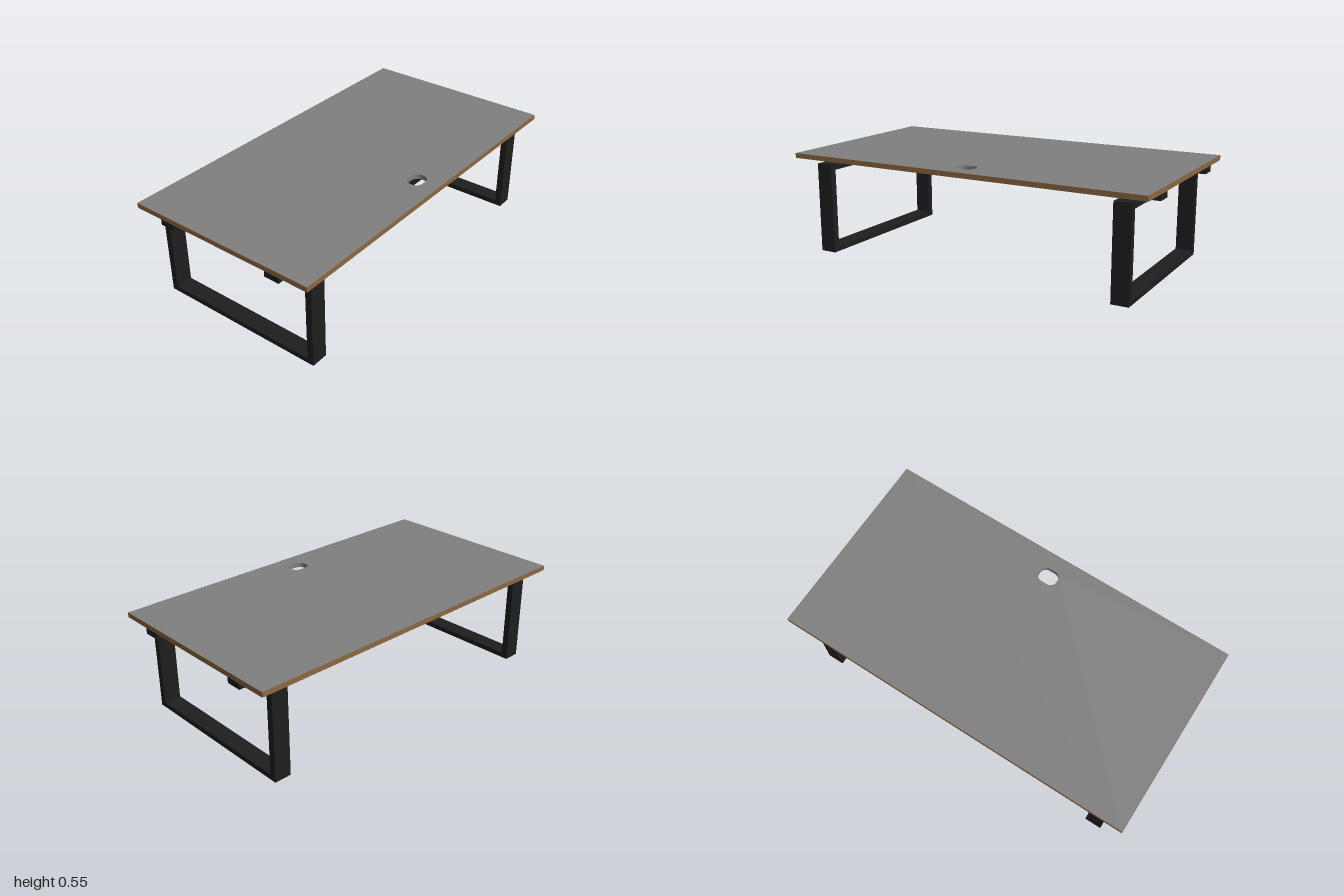
import * as THREE from 'three';

const grey = new THREE.MeshStandardMaterial({ color: 0x808080 });
const wood = new THREE.MeshStandardMaterial({ color: 0x8c6740 });
const black = new THREE.MeshStandardMaterial({ color: 0x1e1e1e });

const HALF_W = 0.533, HALF_L = 1, TOP = 0.546, UNDER = 0.52, BAND = 0.002;

function box(name, material, w, h, d, x, y, z) {
  const mesh = new THREE.Mesh(new THREE.BoxGeometry(w, h, d), material);
  mesh.name = name;
  mesh.position.set(x, y, z);
  return mesh;
}

// Rounded rectangle outline for the cable opening
function roundedHole(cx, cy, w, h, r) {
  const p = new THREE.Path();
  const x = w / 2 - r, y = h / 2 - r;
  p.absarc(cx + x, cy + y, r, 0, Math.PI / 2);
  p.absarc(cx - x, cy + y, r, Math.PI / 2, Math.PI);
  p.absarc(cx - x, cy - y, r, Math.PI, Math.PI * 1.5);
  p.absarc(cx + x, cy - y, r, Math.PI * 1.5, Math.PI * 2);
  p.closePath();
  return p;
}

function createTabletop() {
  const group = new THREE.Group();
  group.name = 'tabletop';
  const w = HALF_W - BAND, l = HALF_L - BAND;
  const shape = new THREE.Shape([[-w, -l], [w, -l], [w, l], [-w, l]].map(([x, y]) => new THREE.Vector2(x, y)));
  shape.holes.push(roundedHole(0.405, 0, 0.084, 0.106, 0.036));
  const geometry = new THREE.ExtrudeGeometry(shape, { depth: TOP - UNDER, bevelEnabled: false, curveSegments: 8 });
  geometry.rotateX(-Math.PI / 2).translate(0, UNDER, 0);
  const board = new THREE.Mesh(geometry, grey);
  board.name = 'board';
  group.add(board);

  // Wooden edge banding on all four sides
  const h = TOP - UNDER, y = (TOP + UNDER) / 2;
  for (const s of [-1, 1]) {
    group.add(box('longEdgeBand', wood, BAND, h, HALF_L * 2, s * (HALF_W - BAND / 2), y, 0));
    group.add(box('shortEdgeBand', wood, w * 2, h, BAND, 0, y, s * (HALF_L - BAND / 2)));
  }
  return group;
}

// Flat-bar leg loop, open in the middle of its upper side
function createLegFrame() {
  const half = [
    [0.47, 0], [0.47, 0.488], [0.287, 0.488], [0.287, 0.456], [0.435, 0.456], [0.435, 0.028],
  ];
  const mirrored = half.map(([x, y]) => [-x, y]).reverse();
  const shape = new THREE.Shape([...half, ...mirrored].map(([x, y]) => new THREE.Vector2(x, y)));
  const depth = 0.091;
  const geometry = new THREE.ExtrudeGeometry(shape, { depth, bevelEnabled: false });
  geometry.translate(0, 0, -depth / 2);
  const mesh = new THREE.Mesh(geometry, black);
  mesh.name = 'legFrame';
  return mesh;
}

export function createModel() {
  const model = new THREE.Group();
  model.name = 'table';
  model.add(createTabletop());
  for (const s of [-1, 1]) {
    // Long support rail under the top
    model.add(box('supportRail', black, 0.083, 0.032, HALF_L * 2 - 0.002, s * 0.3285, 0.504, 0));
    const leg = createLegFrame();
    leg.position.z = s * 0.858;
    model.add(leg);
  }
  return model;
}
